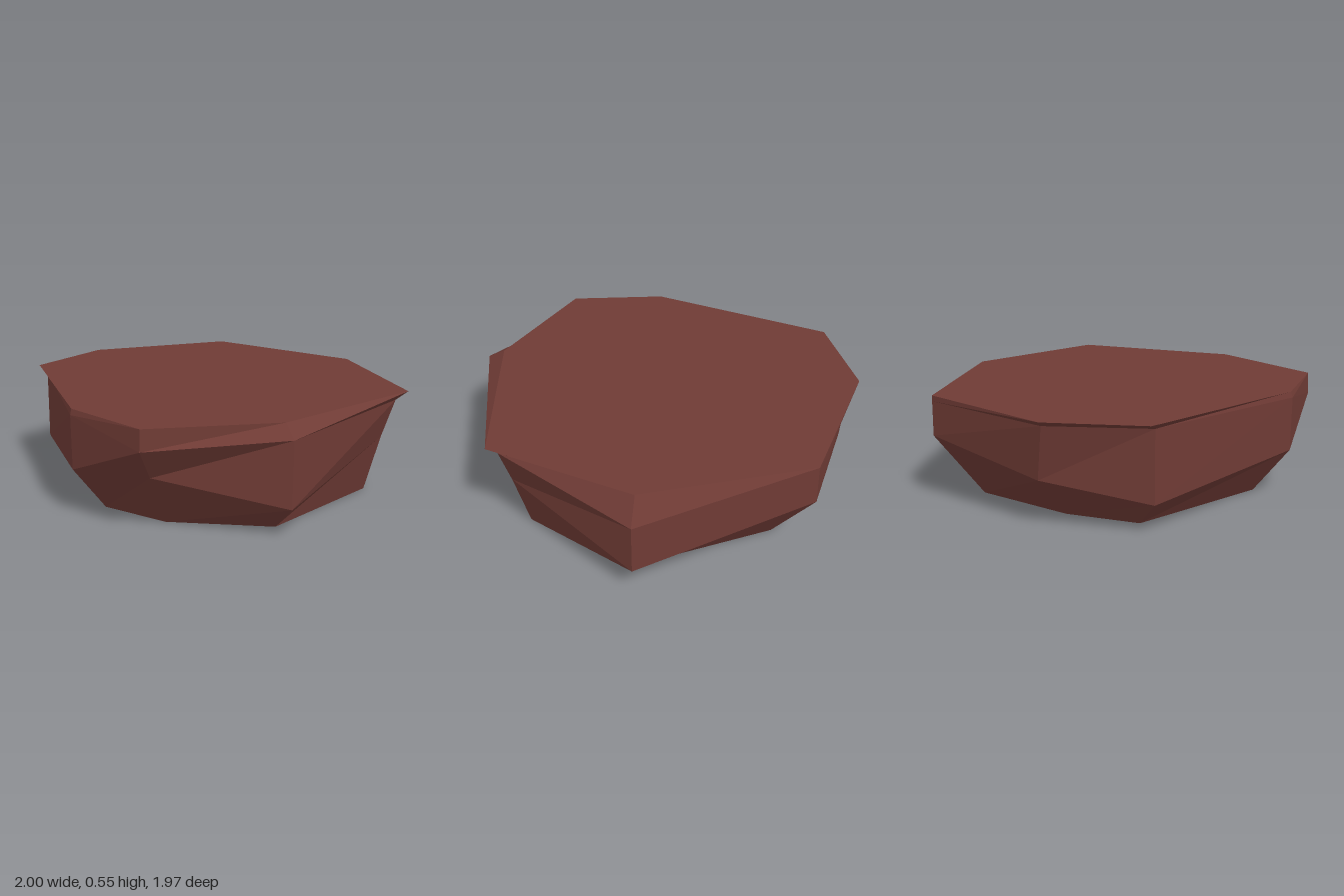
import * as THREE from 'three';

// Corner columns, anticlockwise from above; each runs bottom, low, high, rim as [x, y, z].
const columns = [
  [[-0.15, 0, 0.70], [-0.20, 0.24, 0.885], [-0.20, 0.52, 0.89], [-0.20, 0.55, 0.88]],
  [[0.23, 0, 0.70], [0.27, 0.28, 0.87], [0.30, 0.44, 0.985], [0.30, 0.55, 0.98]],
  [[0.71, 0, 0.45], [0.865, 0.15, 0.56], [0.87, 0.49, 0.56], [0.79, 0.55, 0.50]],
  [[0.80, 0, -0.31], [0.88, 0.30, -0.33], [0.94, 0.50, -0.36], [1.00, 0.55, -0.38]],
  [[0.31, 0, -0.78], [0.41, 0.155, -0.985], [0.41, 0.42, -0.985], [0.37, 0.55, -0.90]],
  [[-0.39, 0, -0.70], [-0.53, 0.34, -0.92], [-0.53, 0.52, -0.92], [-0.53, 0.55, -0.92]],
  [[-0.67, 0, -0.21], [-0.90, 0.24, -0.30], [-0.95, 0.52, -0.27], [-1.00, 0.55, -0.27]],
  [[-0.76, 0, 0.17], [-0.93, 0.15, 0.26], [-0.93, 0.52, 0.26], [-1.00, 0.55, 0.25]],
];

function facetedMesh(name, corners, material) {
  const geometry = new THREE.BufferGeometry();
  geometry.setAttribute('position', new THREE.Float32BufferAttribute(corners.flat(), 3));
  geometry.computeVertexNormals();
  const mesh = new THREE.Mesh(geometry, material);
  mesh.name = name;
  return mesh;
}

export function createModel() {
  const stone = new THREE.MeshStandardMaterial({ color: 0x6f3b35, flatShading: true, side: THREE.DoubleSide });
  stone.name = 'red brown stone';

  const wall = [];
  const top = [];
  columns.forEach((a, i) => {
    const b = columns[(i + 1) % columns.length];
    // Faceted wall between neighbouring columns, open underneath
    for (let r = 0; r < 3; r++) {
      wall.push(a[r], b[r], b[r + 1], a[r], b[r + 1], a[r + 1]);
    }
    // Flat top as a fan around the middle
    top.push([0, 0.55, 0], a[3], b[3]);
  });

  const rock = new THREE.Group();
  rock.name = 'flatRock';
  rock.add(facetedMesh('rockWall', wall, stone), facetedMesh('rockTop', top, stone));
  return rock;
}
